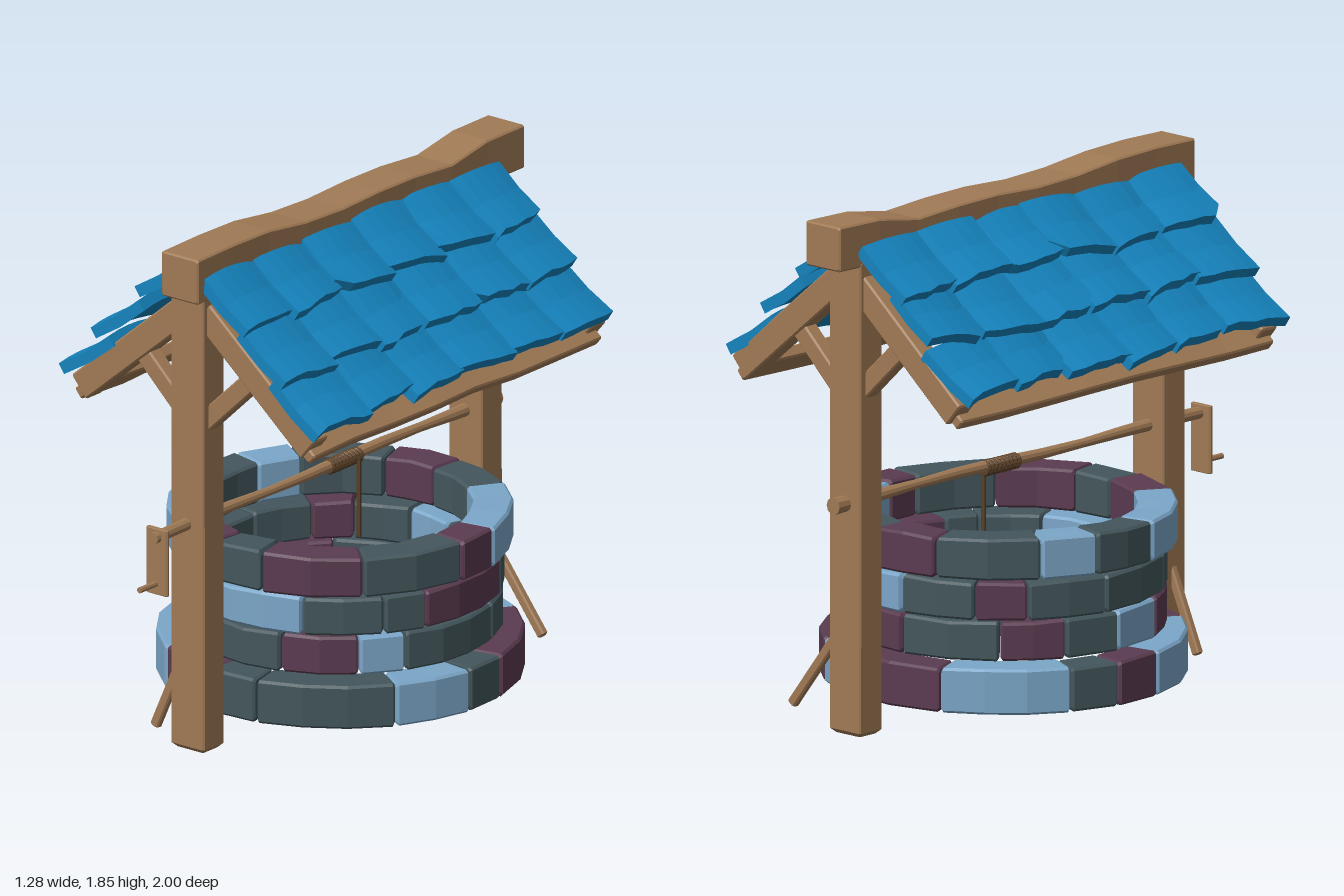
import * as THREE from 'three';

const mat = (color) => new THREE.MeshStandardMaterial({ color, flatShading: true, side: THREE.DoubleSide });
const WOOD = mat(0xa07a55), TILE = mat(0x1583bd), ROPE = mat(0x5a4027);
const STONE = { l: mat(0x7ba6c8), p: mat(0x5a3b50), s: mat(0x43565c) };

// Small seeded generator, returning -1..1
let seed = 7;
const rnd = () => {
  seed = (seed * 16807) % 2147483647;
  return (seed / 2147483647) * 2 - 1;
};

// Skin a list of equal-length cross-sections and close both ends
function loft(sections) {
  const n = sections[0].length, index = [];
  const last = (sections.length - 1) * n;
  for (let i = 0; i < sections.length - 1; i++) {
    for (let j = 0; j < n; j++) {
      const k = (j + 1) % n;
      const a = i * n + j, b = i * n + k, c = b + n, d = a + n;
      index.push(a, b, c, a, c, d);
    }
  }
  for (let j = 1; j < n - 1; j++) index.push(0, j + 1, j, last, last + j, last + j + 1);
  const g = new THREE.BufferGeometry();
  g.setAttribute('position', new THREE.Float32BufferAttribute(sections.flat(2), 3));
  g.setIndex(index);
  g.computeVertexNormals();
  return g;
}

// Rectangle with chamfered corners, counter-clockwise
function chamferRect(w, h, c) {
  const x = w / 2, y = h / 2;
  return [[x, c - y], [x, y - c], [x - c, y], [c - x, y], [-x, y - c], [-x, c - y], [c - x, -y], [x - c, -y]];
}

// Hewn timber from a to b; tops raises or lowers the upper edge along its length
function beam(parent, name, a, b, w, h, { wobble = 0, segs = 1, tops = null, roll = 0, bevel = 0.006 } = {}) {
  const A = new THREE.Vector3(...a), B = new THREE.Vector3(...b), len = A.distanceTo(B);
  const n = tops ? tops.length - 1 : segs;
  const jitter = Array.from({ length: n + 1 }, () => [rnd() * wobble, rnd() * wobble]);
  const stops = [[0, bevel, 0]];
  for (let i = 0; i <= n; i++) stops.push([THREE.MathUtils.clamp(i / n * len, bevel, len - bevel), 0, i]);
  stops.push([len, bevel, n]);
  const sections = stops.map(([z, inset, i]) => {
    const [dx, dy] = jitter[i];
    return chamferRect(w - inset * 2, h - inset * 2, 0.006)
      .map(([x, y]) => [x + dx, y + dy + (tops && y > 0 ? tops[i] : 0), z]);
  });
  const m = new THREE.Mesh(loft(sections), WOOD);
  m.name = name;
  m.position.copy(A);
  m.lookAt(B);
  m.rotateZ(roll);
  parent.add(m);
}

// Curved stone block between two angles (degrees, from +z towards +x)
function stone(a0, a1, R, depth, y0, y1) {
  const gap = 0.003 / R, bevel = 0.009 / R;
  const s = THREE.MathUtils.degToRad(a0) + gap, e = THREE.MathUtils.degToRad(a1) - gap;
  const n = Math.max(1, Math.round((a1 - a0) / 16));
  const stops = [[s, 0.009]];
  for (let i = 0; i <= n; i++) stops.push([s + bevel + (e - s - 2 * bevel) * i / n, 0]);
  stops.push([e, 0.009]);
  const h = y1 - y0, mid = R - depth / 2;
  return loft(stops.map(([t, inset]) => {
    const dr = rnd() * 0.004, dh = rnd() * 0.004;
    return chamferRect(depth - 2 * inset, h - 2 * inset, 0.009).map(([u, v]) => {
      const r = mid - u + dr;
      return [r * Math.sin(t), (y0 + y1) / 2 + v + (v > 0 ? dh : 0), r * Math.cos(t)];
    });
  }));
}

// Courses: radius, bottom, top, first angle, then [end angle, colour] for each block
const COURSES = [
  [0.642, 0.085, 0.245, -80, [[-31, 'l'], [-6, 'p'], [12, 's'], [57, 's'], [84, 'l'], [100, 's'], [147, 'p'],
    [166, 'l'], [203, 'p'], [245, 'l'], [262, 's'], [280, 'p']]],
  [0.57, 0.26, 0.4, -69, [[-43, 'p'], [-26, 's'], [18, 's'], [46, 'p'], [63, 'l'], [107, 's'], [150, 's'],
    [185, 'p'], [222, 's'], [246, 'p'], [268, 's'], [291, 'l']]],
  [0.572, 0.405, 0.54, -60, [[-18, 's'], [26, 'l'], [55, 's'], [71, 's'], [115, 'p'], [160, 's'], [185, 'l'],
    [213, 's'], [232, 'p'], [262, 's'], [300, 's']]],
  [0.604, 0.557, 0.703, -78, [[-31, 'l'], [-8, 'p'], [12, 's'], [47, 'p'], [84, 's'], [101, 'p'], [148, 'l'],
    [175, 's'], [200, 'p'], [236, 's'], [256, 'l'], [282, 's']]],
];

function wellWall() {
  const g = new THREE.Group();
  g.name = 'wellWall';
  for (const [R, y0, y1, start, blocks] of COURSES) {
    let from = start;
    for (const [to, color] of blocks) {
      const m = new THREE.Mesh(stone(from, to, R, 0.14, y0, y1), STONE[color]);
      m.name = 'stone';
      g.add(m);
      from = to;
    }
  }
  g.position.z = -0.08;
  return g;
}

// One hand-cut roof tile: bulged across its width with an uneven, sometimes chipped lower edge
function tileGeometry(L, th, W) {
  const cols = 5, g = new THREE.BoxGeometry(L, th, W, 2, 1, cols), p = g.attributes.position;
  const edge = Array.from({ length: cols + 1 }, () => rnd() * 0.009);
  const skew = rnd() * 0.02, lean = rnd() * 0.012;
  if (rnd() > 0.3) edge[rnd() > 0 ? 0 : cols] -= 0.05;
  for (let i = 0; i < p.count; i++) {
    const x = p.getX(i), q = p.getZ(i) / W, u = x / L + 0.5;
    p.setX(i, x + u * (edge[Math.round((q + 0.5) * cols)] + skew * q * 2));
    p.setY(i, p.getY(i) + 0.014 * (1 - 4 * q * q) - 0.008 + lean * q * 2 + 0.008 * (2 * u - 1) ** 2);
    p.setZ(i, p.getZ(i) + lean * u);
  }
  g.computeVertexNormals();
  return g;
}

// Three overlapping rows of tiles; each row is given by its lower edge
function roofSide(name, x, z, turn) {
  const g = new THREE.Group();
  g.name = name;
  const L = 0.25, th = 0.042, pitch = 0.268;
  const rows = [[0.57, 1.31, 0.62], [0.43, 1.47, 0.61], [0.282, 1.625, 0.6]];
  rows.forEach(([ex, ey, ang], row) => {
    for (let col = 0; col < 6; col++) {
      const m = new THREE.Mesh(tileGeometry(L, th, pitch * 1.05), TILE);
      const a = ang + rnd() * 0.04, slide = rnd() * 0.012, lift = rnd() * 0.006;
      const along = slide - L / 2, up = lift - th / 2;
      m.name = 'roofTile';
      m.position.set(
        ex + Math.cos(a) * along + Math.sin(a) * up,
        ey - Math.sin(a) * along + Math.cos(a) * up,
        (col - 2.5) * pitch + (row - 1) * 0.012);
      m.rotation.set(0, rnd() * 0.05, -a);
      g.add(m);
    }
  });
  g.position.set(x, 0, z);
  g.rotation.y = turn;
  return g;
}

function frame() {
  const g = new THREE.Group(), cx = -0.012;
  g.name = 'timberFrame';
  for (const [label, z] of [['front', 0.69], ['back', -0.842]]) {
    beam(g, label + 'Post', [cx, 0.005, z], [cx, 1.72, z], 0.15, 0.115, { bevel: 0.016 });
    for (const s of [-1, 1]) {
      beam(g, label + 'Rafter', [s * 0.04, 1.63, z], [s * 0.515, 1.23, z], 0.08, 0.1);
      beam(g, label + 'Brace', [s * 0.03, 1.215, z], [s * 0.27, 1.445, z], 0.06, 0.07);
    }
  }
  // Ridge and eaves
  beam(g, 'ridgeBeam', [-0.005, 1.77, 0.8], [-0.005, 1.77, -1], 0.165, 0.16,
    { tops: [0.005, 0.005, 0, -0.02, -0.025, -0.015, -0.02, -0.035, 0, 0], wobble: 0.004 });
  for (const s of [-1, 1]) {
    beam(g, 'eaveBoard', [s * 0.48, 1.235, -0.86], [s * 0.48, 1.235, 0.72], 0.12, 0.045,
      { segs: 7, wobble: 0.006, roll: -s * 0.7 });
  }
  // Slanting ground stakes
  beam(g, 'frontStake', [-0.2, 0.04, 0.69], [-0.04, 0.4, 0.69], 0.03, 0.036);
  beam(g, 'backStake', [0.295, 0.055, -0.838], [0.03, 0.4, -0.838], 0.03, 0.036);
  return g;
}

function windlass() {
  const g = new THREE.Group();
  g.name = 'windlass';
  const add = (name, geo, material, x, y, z) => {
    const m = new THREE.Mesh(geo, material);
    m.name = name;
    m.position.set(x, y, z);
    g.add(m);
  };
  // Uneven round axle
  const radii = [0.021, 0.023, 0.02, 0.016, 0.019, 0.022, 0.02, 0.017, 0.023, 0.031];
  const axle = radii.map((r, i) => Array.from({ length: 10 }, (_, j) => {
    const t = j / 10 * Math.PI * 2;
    return [r * Math.cos(t), r * Math.sin(t) + 0.004 * Math.sin(i * 1.3), i / 9 * 1.89];
  }));
  const rod = new THREE.Mesh(loft(axle), WOOD);
  rod.name = 'axle';
  rod.position.set(-0.015, 0.84, 0.93);
  rod.rotation.y = Math.PI;
  g.add(rod);
  // Crank and grip
  beam(g, 'crankArm', [-0.018, 0.627, 0.9], [-0.018, 0.87, 0.9], 0.095, 0.02, { bevel: 0.002 });
  add('crankGrip', new THREE.CylinderGeometry(0.011, 0.011, 0.1, 8).rotateX(Math.PI / 2), WOOD, -0.02, 0.667, 0.95);
  // Rope wound on the axle, with one end hanging
  for (let i = 0; i < 9; i++) {
    add('ropeCoil', new THREE.TorusGeometry(0.021, 0.009, 6, 12), ROPE, -0.015, 0.836, -0.04 - i * 0.019);
  }
  add('hangingRope', new THREE.CylinderGeometry(0.009, 0.009, 0.29, 6), ROPE, 0.008, 0.69, -0.175);
  return g;
}

export function createModel() {
  seed = 7;
  const model = new THREE.Group();
  model.name = 'well';
  model.add(wellWall(), frame(), windlass());
  model.add(roofSide('leftRoofTiles', 0, -0.06, 0), roofSide('rightRoofTiles', -0.015, -0.08, Math.PI));
  return model;
}
